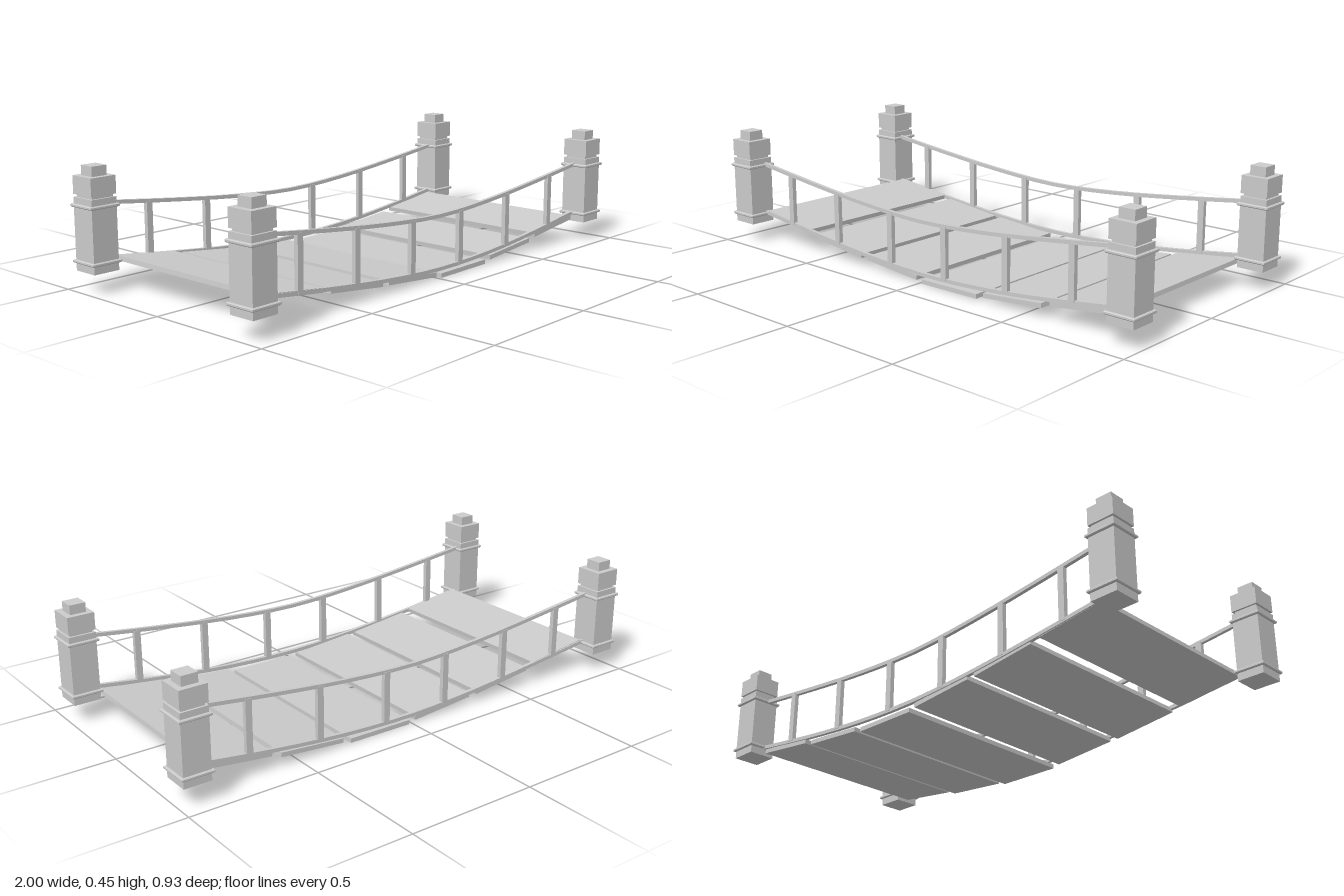
import * as THREE from 'three';

const material = new THREE.MeshStandardMaterial({ color: 0xcccccc, flatShading: true });

function addMesh(parent, name, geometry, x = 0, y = 0, z = 0) {
  const mesh = new THREE.Mesh(geometry, material);
  mesh.name = name;
  mesh.position.set(x, y, z);
  parent.add(mesh);
  return mesh;
}

// Square block between two heights
function addBlock(parent, name, width, y0, y1) {
  return addMesh(parent, name, new THREE.BoxGeometry(width, y1 - y0, width), 0, (y0 + y1) / 2, 0);
}

// Square band with a rounded outer edge
function bandGeometry() {
  const profile = [[0.05, -0.006], [0.058, -0.006], [0.061, -0.003], [0.061, 0.003], [0.058, 0.006], [0.05, 0.006]]
    .map(([r, y]) => new THREE.Vector2(r * Math.SQRT2, y));
  return new THREE.LatheGeometry(profile, 4, Math.PI / 4);
}

function createPost(x, z) {
  const post = new THREE.Group();
  post.name = 'cornerPost';
  addBlock(post, 'postShaft', 0.105, 0.075, 0.34);
  addBlock(post, 'postNeck', 0.088, 0.34, 0.35);
  addBlock(post, 'postCap', 0.105, 0.35, 0.416);
  addBlock(post, 'postTip', 0.062, 0.416, 0.452);
  for (const y of [0.11, 0.311]) addMesh(post, 'postBand', bandGeometry(), 0, y, 0);
  post.position.set(x, 0, z);
  return post;
}

// Sagging curve through a few heights
const spanX = [-0.89, -0.6, -0.3, 0, 0.3, 0.6, 0.89];
const sagCurve = heights => new THREE.SplineCurve(spanX.map((x, i) => new THREE.Vector2(x, heights[i])));
const upperCurve = sagCurve([0.315, 0.281, 0.251, 0.235, 0.249, 0.279, 0.314]);
const lowerCurve = sagCurve([0.114, 0.081, 0.051, 0.036, 0.045, 0.073, 0.111]);

// Height of a curve at a given x
function heightAt(curve, x) {
  const points = curve.getPoints(60);
  const i = Math.max(1, points.findIndex(p => p.x >= x));
  const a = points[i - 1], b = points[i];
  return a.y + (b.y - a.y) * (x - a.x) / (b.x - a.x);
}

function railGeometry(curve) {
  const points = curve.getPoints(18), half = 0.007;
  const outline = [
    ...points.map(p => new THREE.Vector2(p.x, p.y - half)),
    ...points.slice().reverse().map(p => new THREE.Vector2(p.x, p.y + half)),
  ];
  return new THREE.ExtrudeGeometry(new THREE.Shape(outline), { depth: 0.014, bevelEnabled: false })
    .translate(0, 0, -0.007);
}

export function createModel() {
  const bridge = new THREE.Group();
  bridge.name = 'suspensionBridge';

  // Corner posts, slightly uneven in placement
  for (const [x, z] of [[-0.938, 0.402], [0.938, 0.387], [-0.938, -0.403], [0.936, -0.403]]) {
    bridge.add(createPost(x, z));
  }

  // Deck planks: left x, right x, underside height at left and right
  const planks = [
    [-0.875, -0.612, 0.105, 0.073],
    [-0.575, -0.313, 0.062, 0.032],
    [-0.28, -0.015, 0.031, 0.009],
    [0.013, 0.28, 0.0, 0.003],
    [0.313, 0.575, 0.014, 0.037],
    [0.612, 0.873, 0.052, 0.083],
  ];
  const thickness = 0.017;
  for (const [x0, x1, y0, y1] of planks) {
    const plank = addMesh(bridge, 'deckPlank',
      new THREE.BoxGeometry(Math.hypot(x1 - x0, y1 - y0), thickness, 0.776),
      (x0 + x1) / 2, (y0 + y1 + thickness) / 2, -0.004);
    plank.rotation.z = Math.atan2(y1 - y0, x1 - x0);
  }

  // Side railings
  for (const z of [0.379, -0.39]) {
    const railing = new THREE.Group();
    railing.name = 'sideRailing';
    addMesh(railing, 'handRail', railGeometry(upperCurve));
    addMesh(railing, 'lowerRail', railGeometry(lowerCurve));
    for (const x of [-0.718, -0.445, -0.152, 0.123, 0.414, 0.703]) {
      const y0 = heightAt(lowerCurve, x), y1 = heightAt(upperCurve, x);
      addMesh(railing, 'baluster', new THREE.BoxGeometry(0.025, y1 - y0, 0.017), x, (y0 + y1) / 2, 0);
    }
    railing.position.z = z;
    bridge.add(railing);
  }
  return bridge;
}
